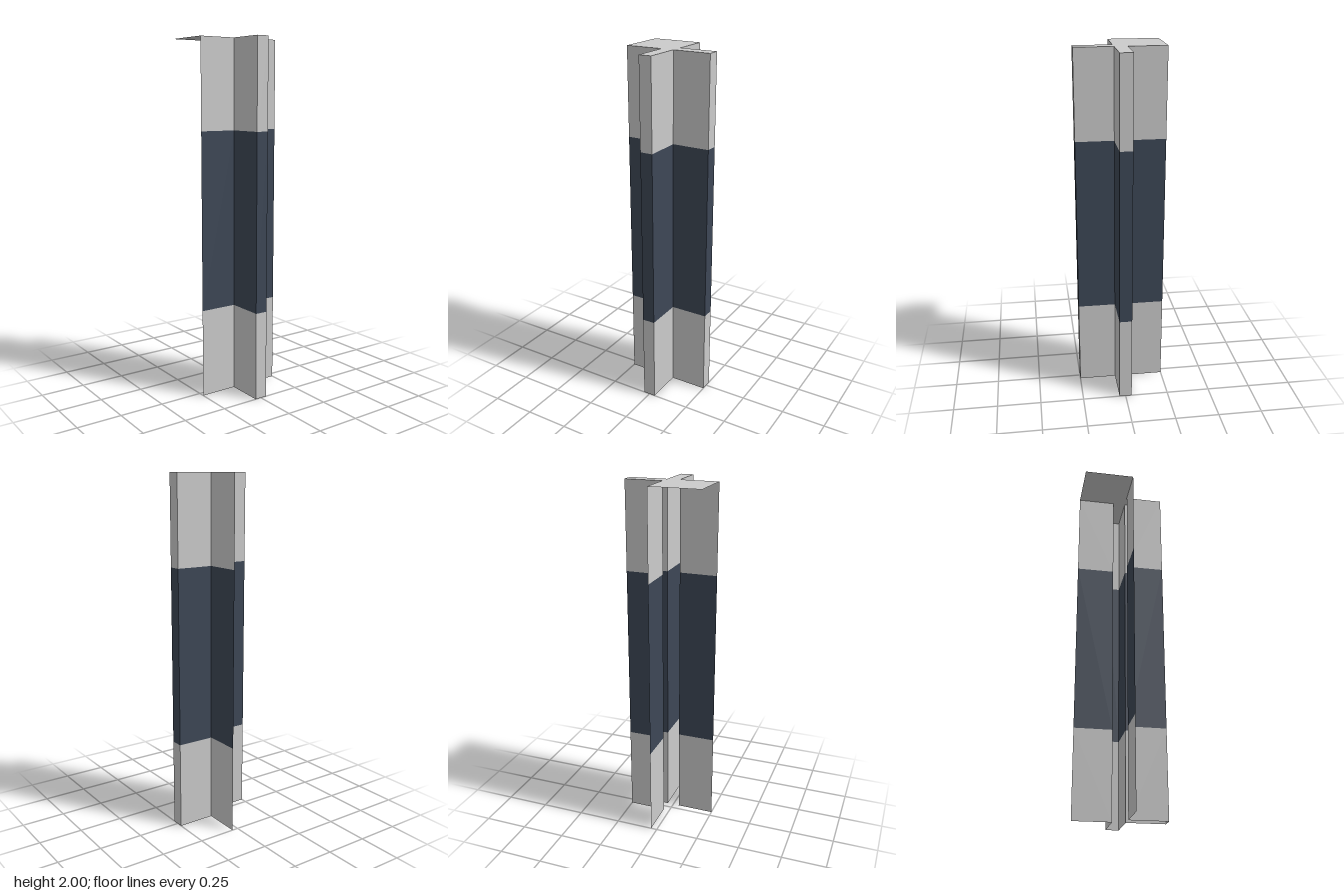
import * as THREE from 'three';
import { mergeGeometries } from 'three/addons/utils/BufferGeometryUtils.js';

const A = 0.036; // half thickness of an arm
const R = 0.25;  // reach of an arm

// Open wall outline [x, z], running round the cross; the back corner stays open
const outline = [
  [A, -R], [A, -A], [R, -A], [R, A], [A, A],
  [A, R], [-A, R], [-A, A], [-R, A],
];

// Thin vertical panels along the outline between two heights
function wallBand(y0, y1) {
  const panels = [];
  for (let i = 0; i < outline.length - 1; i++) {
    const [x0, z0] = outline[i];
    const [x1, z1] = outline[i + 1];
    const dx = x1 - x0, dz = z1 - z0;
    const panel = new THREE.PlaneGeometry(Math.hypot(dx, dz), y1 - y0);
    panel.rotateY(Math.atan2(dz, -dx));
    panel.translate((x0 + x1) / 2, (y0 + y1) / 2, (z0 + z1) / 2);
    panels.push(panel);
  }
  return mergeGeometries(panels);
}

export function createModel() {
  const group = new THREE.Group();
  group.name = 'crossPost';
  const grey = new THREE.MeshStandardMaterial({ color: 0xcccccc, side: THREE.DoubleSide });
  const navy = new THREE.MeshStandardMaterial({ color: 0x3d4756, side: THREE.DoubleSide });

  const add = (name, geometry, material) => {
    const mesh = new THREE.Mesh(geometry, material);
    mesh.name = name;
    group.add(mesh);
  };

  // Walls in three bands
  add('lowerWalls', wallBand(0, 0.5), grey);
  add('middleBand', wallBand(0.5, 1.5), navy);
  add('upperWalls', wallBand(1.5, 2), grey);

  // Flat top, filling the open corner out to a square
  const points = [...outline, [-R, -R]].map(([x, z]) => new THREE.Vector2(x, -z));
  const top = new THREE.ShapeGeometry(new THREE.Shape(points));
  top.rotateX(-Math.PI / 2).translate(0, 2, 0);
  add('topCap', top, grey);

  return group;
}
